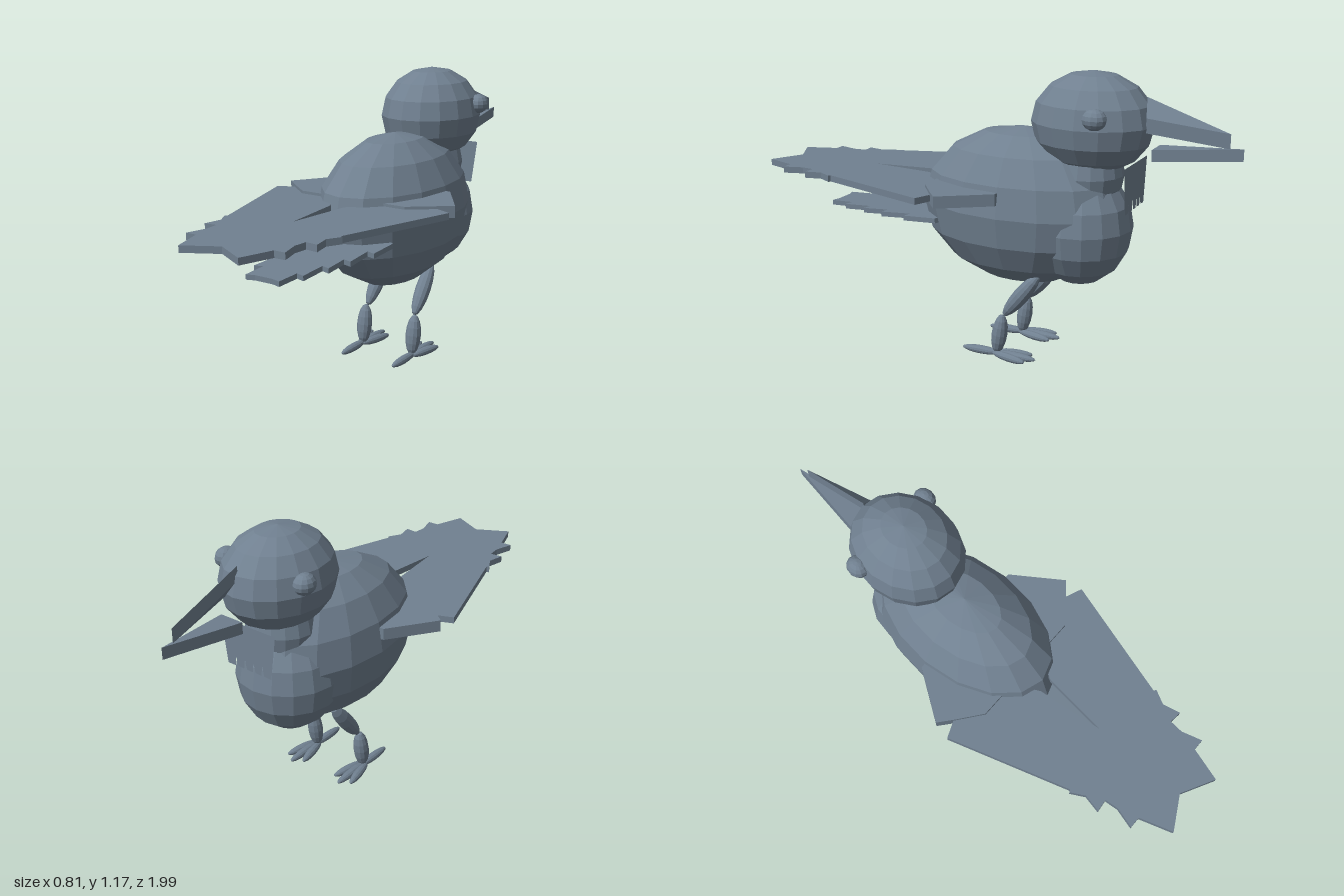
import * as THREE from 'three';
import { ConvexGeometry } from 'three/addons/geometries/ConvexGeometry.js';

export function createModel() {
  const root = new THREE.Group();
  root.name = 'bird';
  const slate = new THREE.MeshStandardMaterial({ color: 0x708090, flatShading: true, side: THREE.DoubleSide });
  slate.name = 'slate grey';

  const add = (name, geometry, parent = root) => {
    const mesh = new THREE.Mesh(geometry, slate);
    mesh.name = name;
    parent.add(mesh);
    return mesh;
  };

  // Faceted ellipsoid from centre and radii
  const ellipsoid = (name, pos, radii, ws = 16, hs = 8, parent = root) => {
    const mesh = add(name, new THREE.SphereGeometry(1, ws, hs), parent);
    mesh.position.set(...pos);
    mesh.scale.set(...radii);
    return mesh;
  };

  // Spindle stretched between two points
  const spindle = (name, a, b, rx, rz, parent) => {
    const from = new THREE.Vector3(...a), to = new THREE.Vector3(...b);
    const mid = from.clone().add(to).multiplyScalar(0.5);
    const mesh = ellipsoid(name, mid.toArray(), [rx, from.distanceTo(to) / 2, rz], 12, 8, parent);
    mesh.quaternion.setFromUnitVectors(new THREE.Vector3(0, 1, 0), to.sub(from).normalize());
    return mesh;
  };

  // Flat plate from an x-z outline, between two heights
  const plate = (name, outline, y0, y1, parent = root) => {
    const shape = new THREE.Shape(outline.map(([x, z]) => new THREE.Vector2(x, -z)));
    const geo = new THREE.ExtrudeGeometry(shape, { depth: y1 - y0, bevelEnabled: false });
    geo.rotateX(-Math.PI / 2).translate(0, y0, 0);
    return add(name, geo, parent);
  };

  // Triangular wedge: three top corners, dropped by a thickness
  const wedge = (name, corners, drop) => {
    const points = corners.flatMap(([x, y, z]) => [new THREE.Vector3(x, y, z), new THREE.Vector3(x, y - drop, z)]);
    return add(name, new ConvexGeometry(points));
  };

  // Body, breast, neck and head
  ellipsoid('body', [0, 0.625, -0.14], [0.257, 0.315, 0.425]);
  ellipsoid('breast', [0, 0.57, -0.385], [0.205, 0.235, 0.205]);
  ellipsoid('neck', [0, 0.78, -0.42], [0.14, 0.14, 0.13]);
  ellipsoid('head', [0, 0.98, -0.425], [0.2, 0.195, 0.24]);

  // Open beak, the upper half twisted to one side
  wedge('upperBeak', [[0, 1.09, -0.635], [0.05, 1.02, -0.65], [0, 0.98, -0.95]], 0.055);
  wedge('lowerBeak', [[-0.05, 0.905, -0.675], [0.05, 0.905, -0.675], [0, 0.93, -1]], 0.045);

  // Throat plate with a fringed lower edge
  const throat = [[-0.13, 0.84], [-0.105, 0.66]];
  for (let i = 0; i < 4; i++) {
    const x = -0.105 + (i + 1) * 0.042;
    throat.push([x - 0.008, 0.662], [x, 0.7], [x + 0.006, 0.66]);
  }
  throat.push([0.105, 0.66], [0.13, 0.84]);
  const throatShape = new THREE.Shape(throat.map(([x, y]) => new THREE.Vector2(x, y)));
  add('throatFeathers', new THREE.ShapeGeometry(throatShape)).position.z = -0.6;

  // Wings, eyes and legs for each side
  const shoulder = [[0.12, -0.15], [0.26, -0.14], [0.39, 0.05], [0.33, 0.1], [0.24, 0.17], [0.12, 0.17]];
  const wing = [
    [0.16, 0.02], [0.405, 0.12], [0.255, 0.6], [0.265, 0.605], [0.235, 0.66], [0.25, 0.73], [0.2, 0.725],
    [0.195, 0.78], [0.218, 0.86], [0.172, 0.86], [0.13, 0.99], [0, 0.92], [0, 0.54], [0.03, 0.27],
  ];
  for (const [side, s] of [['left', 1], ['right', -1]]) {
    const flip = (points) => points.map(([x, z]) => [s * x, z]);
    plate(side + 'Shoulder', flip(shoulder), 0.678, 0.725);
    plate(side + 'Wing', flip(wing), 0.688, 0.714);
    ellipsoid(side + 'Eye', [s * 0.185, 1.025, -0.5], [0.04, 0.04, 0.047], 12, 8);

    const leg = new THREE.Group();
    leg.name = side + 'Leg';
    root.add(leg);
    spindle('thigh', [s * 0.11, 0.375, -0.26], [s * 0.116, 0.185, -0.11], 0.032, 0.032, leg);
    spindle('shank', [s * 0.122, 0.19, -0.107], [s * 0.122, 0.02, -0.083], 0.032, 0.032, leg);
    // Three front toes and one hind toe
    for (const dx of [-0.042, 0, 0.042]) {
      spindle('frontToe', [s * 0.125 + dx * 0.2, 0.024, -0.07],
        [s * 0.125 + dx, 0.022, dx ? -0.225 : -0.255], 0.018, 0.017, leg);
    }
    spindle('hindToe', [s * 0.125, 0.024, -0.1], [s * 0.125, 0.022, 0.07], 0.018, 0.017, leg);
  }

  // Tail fan with stepped feather tips
  const edge = [[0.1, 0.12], [0.185, 0.16]];
  for (const [x, z] of [[0.19, 0.3], [0.167, 0.42], [0.142, 0.52], [0.112, 0.63], [0.075, 0.72]]) {
    edge.push([x, z], [x - 0.035, z - 0.01]);
  }
  const tailOutline = [...edge, ...edge.map(([x, z]) => [-x, z]).reverse()];
  const tail = plate('tail', tailOutline, 0, 0.02);
  tail.rotation.x = 0.036;
  tail.position.y = 0.557;

  return root;
}
